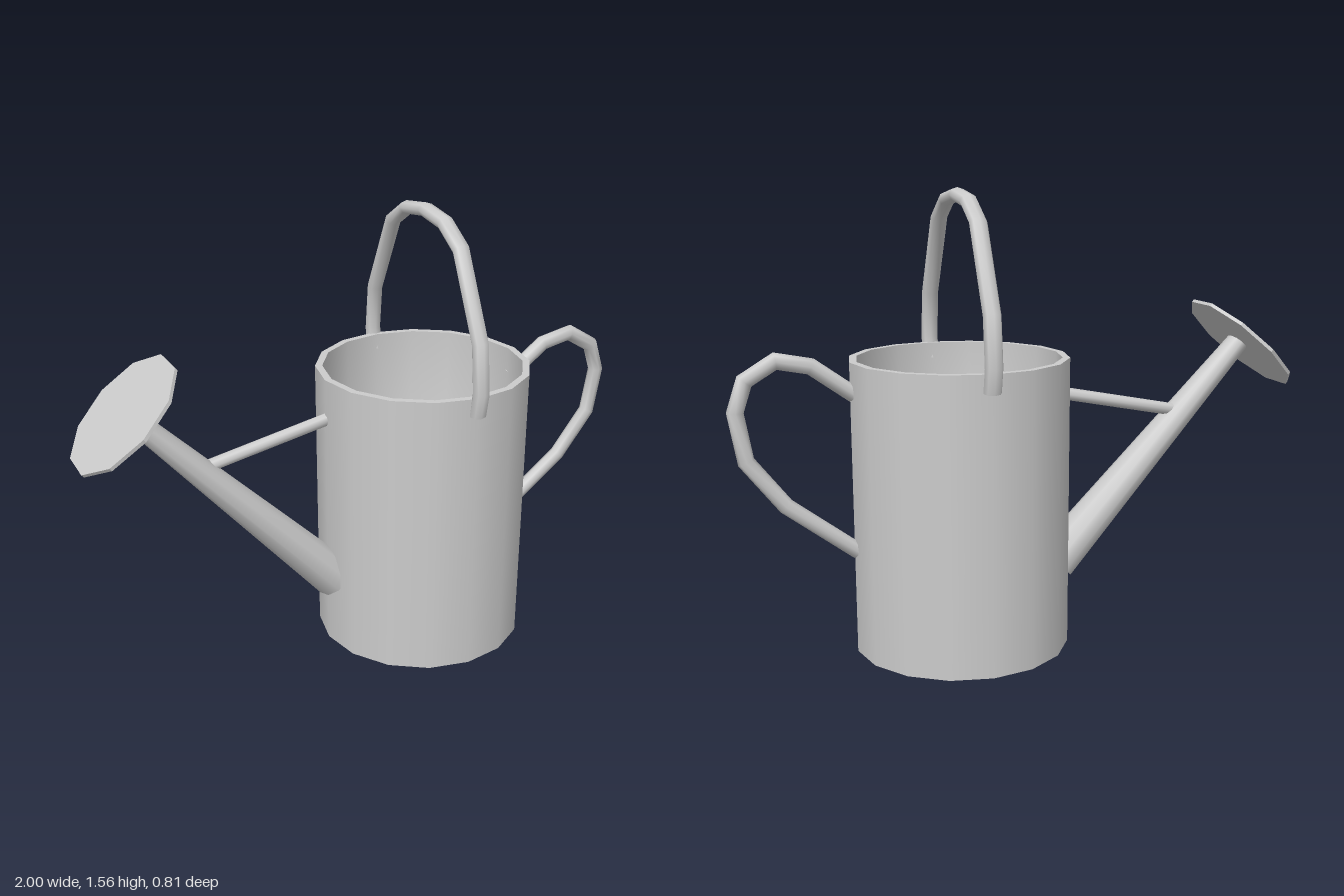
import * as THREE from 'three';

const SIDES = 16;
const BODY_X = 0.22;

function material(side = THREE.FrontSide) {
  return new THREE.MeshStandardMaterial({ color: 0xcccccc, side });
}

function named(name, geometry, side) {
  const mesh = new THREE.Mesh(geometry, material(side));
  mesh.name = name;
  return mesh;
}

// Mitred, capped pipe along [x, y] points; each point has an in-plane and a z radius
function pipe(points, radii, sides = 8) {
  const path = points.map(([x, y]) => new THREE.Vector2(x, y));
  const last = path.length - 1;
  const rings = path.map((p, i) => {
    const into = path[Math.max(i, 1)].clone().sub(path[Math.max(i, 1) - 1]).normalize();
    const k = Math.min(i, last - 1);
    const out = path[k + 1].clone().sub(path[k]).normalize();
    const t = into.clone().add(out).normalize();
    const [a, b] = radii[Math.min(i, radii.length - 1)];
    return { p, t, a: a / t.dot(out), b };
  });
  // Zero-size rings close the ends; the doubled rings keep the end edges sharp
  const cap = (r) => [{ ...r, a: 0, b: 0 }, { ...r }];
  const all = [...cap(rings[0]), ...rings, ...cap(rings[last]).reverse()];

  const position = [];
  const index = [];
  all.forEach(({ p, t, a, b }, i) => {
    for (let j = 0; j < sides; j++) {
      const angle = (j / sides) * Math.PI * 2;
      const u = a * Math.cos(angle);
      position.push(p.x - t.y * u, p.y + t.x * u, b * Math.sin(angle));
      if (i === all.length - 1) continue;
      const j2 = (j + 1) % sides;
      const q = [i * sides + j, i * sides + j2, (i + 1) * sides + j, (i + 1) * sides + j2];
      index.push(q[0], q[1], q[2], q[1], q[3], q[2]);
    }
  });
  const geometry = new THREE.BufferGeometry();
  geometry.setAttribute('position', new THREE.Float32BufferAttribute(position, 3));
  geometry.setIndex(index);
  geometry.computeVertexNormals();
  return geometry;
}

function createBody() {
  const body = new THREE.Group();
  body.name = 'body';
  const outer = named('outerWall', new THREE.CylinderGeometry(0.373, 0.37, 1, SIDES, 1, true));
  outer.position.y = 0.5;
  const base = named('base', new THREE.CircleGeometry(0.37, SIDES));
  base.rotation.x = Math.PI / 2;
  const rim = named('rim', new THREE.RingGeometry(0.348, 0.373, SIDES));
  rim.rotation.x = -Math.PI / 2;
  rim.position.y = 1;
  // Inner wall and floor, shaded smoothly as one surface
  const profile = [[0.348, 1], [0.345, 0.03], [0, 0.03]].map(([x, y]) => new THREE.Vector2(x, y));
  const inside = named('innerWall', new THREE.LatheGeometry(profile, SIDES), THREE.DoubleSide);
  body.add(outer, base, rim, inside);
  body.position.x = BODY_X;
  return body;
}

export function createModel() {
  const model = new THREE.Group();
  model.name = 'wateringCan';
  model.add(createBody());

  // Tapered spout, a little flattened at the tip
  model.add(named('spout', pipe([[-0.125, 0.245], [-0.835, 1.005]], [[0.077, 0.077], [0.034, 0.052]], 10)));

  // Thin ten-sided sprinkler plate
  const plate = named('sprinklerPlate',
    new THREE.CylinderGeometry(0.228, 0.228, 0.012, 10).toNonIndexed());
  plate.geometry.computeVertexNormals();
  plate.rotation.z = Math.atan2(0.3, 0.32);
  plate.position.set(-0.84, 1.0, -0.003);
  model.add(plate);

  // Strut between spout and body
  const brace = named('spoutBrace', pipe([[-0.135, 0.857], [-0.58, 0.767]], [[0.022, 0.022]]));
  brace.position.z = -0.007;
  model.add(brace);

  // Side handle
  const sideHandle = named('sideHandle', pipe([
    [0.58, 0.893], [0.72, 0.995], [0.833, 1.018], [0.932, 0.958],
    [0.965, 0.858], [0.937, 0.695], [0.815, 0.537], [0.58, 0.358],
  ], [[0.027, 0.025]]));
  sideHandle.position.z = -0.007;
  model.add(sideHandle);

  // Carrying handle: half an arch, mirrored
  const half = [[0.368, 0.94], [0.384, 1.02], [0.367, 1.18], [0.23, 1.455], [0.127, 1.518]];
  const arch = [...half, [0, 1.536], ...half.map(([x, y]) => [-x, y]).reverse()];
  const topHandle = named('topHandle', pipe(arch, [[0.023, 0.03]]));
  topHandle.rotation.y = Math.PI / 2;
  topHandle.position.x = BODY_X;
  model.add(topHandle);

  return model;
}
